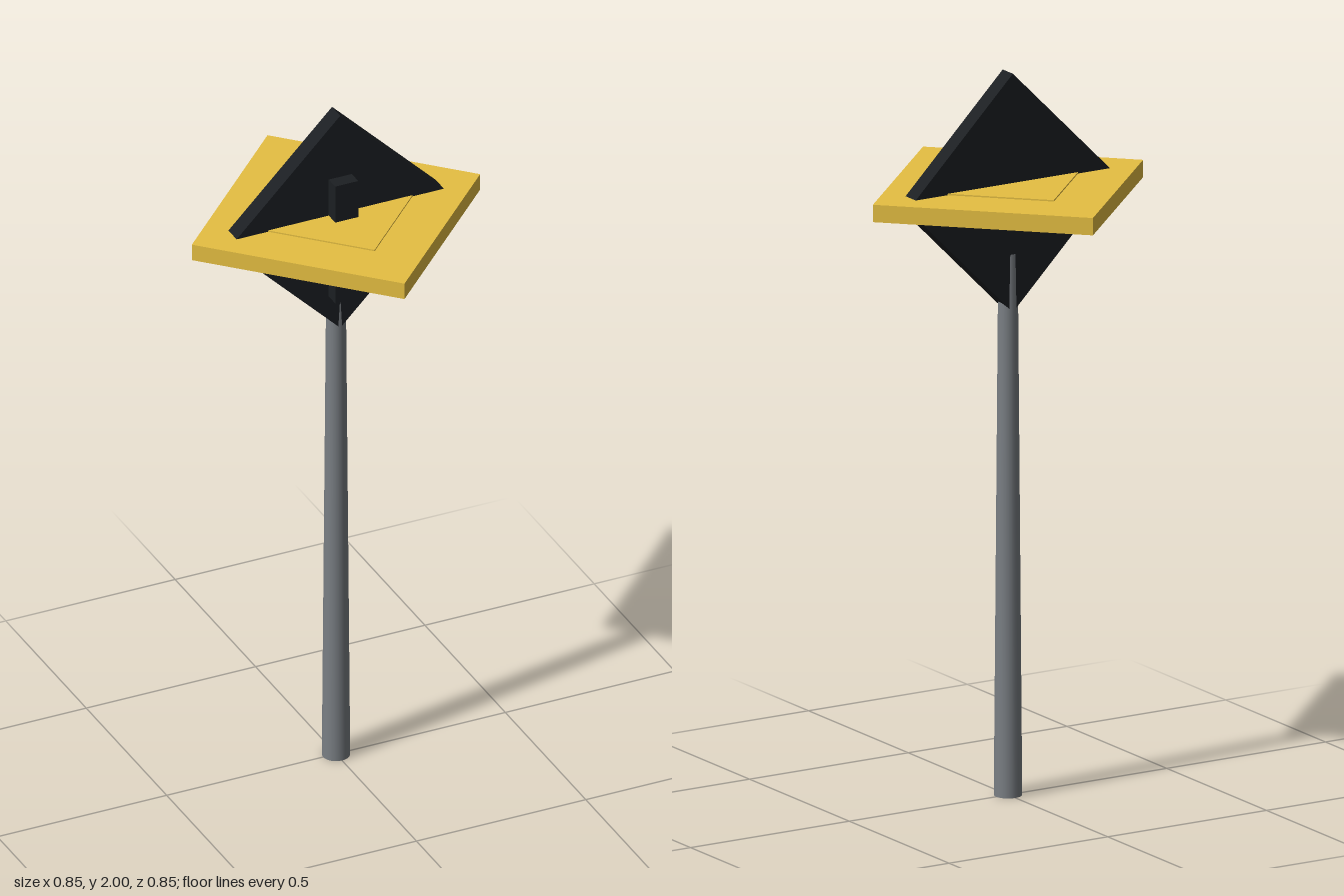
import * as THREE from 'three';

const yellow = new THREE.MeshStandardMaterial({ color: 0xe6bf42 });
const black = new THREE.MeshStandardMaterial({ color: 0x1c1f23 });
const grey = new THREE.MeshStandardMaterial({ color: 0x7a7f84 });

export function createModel() {
  const group = new THREE.Group();

  const add = (name, geometry, material, x, y, z) => {
    const mesh = new THREE.Mesh(geometry, material);
    mesh.name = name;
    mesh.position.set(x, y, z);
    group.add(mesh);
    return mesh;
  };

  // Tapered pole, its tip running into the upright panel
  add('pole', new THREE.CylinderGeometry(0.026, 0.038, 1.5, 24), grey, 0, 0.75, 0);

  // Upright diamond panel
  const side = 0.33 * Math.SQRT2;
  add('uprightPanel', new THREE.BoxGeometry(side, side, 0.051), black, 0, 1.67, 0.001)
    .rotation.z = Math.PI / 4;

  // Level diamond plate with a slightly raised centre on both faces
  add('levelPlate', new THREE.BoxGeometry(0.602, 0.048, 0.602), yellow, 0, 1.67, 0)
    .rotation.y = Math.PI / 4;
  add('raisedCentre', new THREE.BoxGeometry(0.332, 0.056, 0.332), yellow, 0, 1.67, 0.005)
    .rotation.y = Math.PI / 4;

  // Exclamation mark blocks on the front of the panel
  add('upperBlock', new THREE.BoxGeometry(0.068, 0.19, 0.042), black, 0, 1.715, 0.046);
  add('lowerBlock', new THREE.BoxGeometry(0.068, 0.057, 0.042), black, 0, 1.475, 0.046);

  return group;
}
